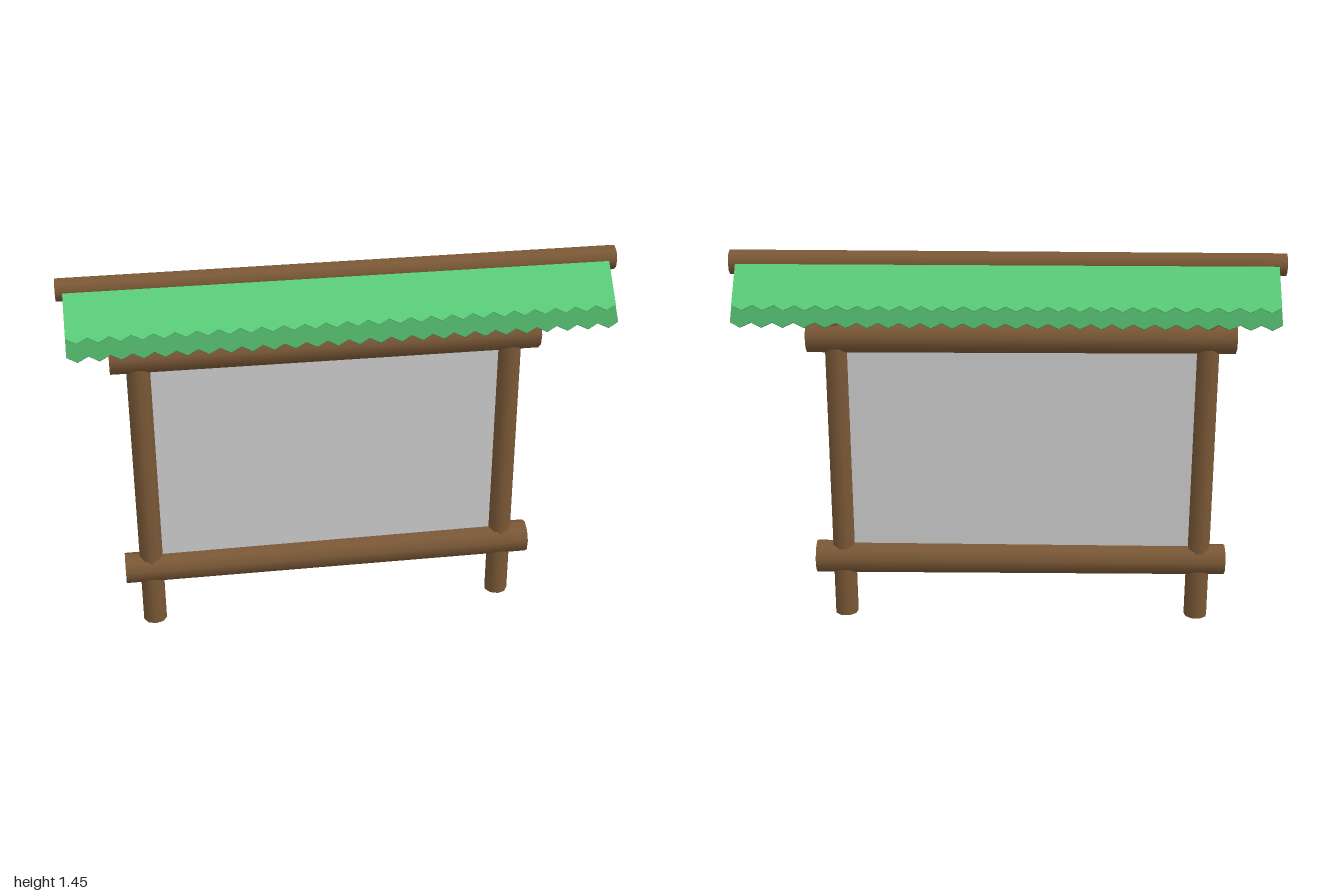
import * as THREE from 'three';

const wood = new THREE.MeshStandardMaterial({ color: 0x7a5836 });
const roofGreen = new THREE.MeshStandardMaterial({ color: 0x5acb78 });
const edgeGreen = new THREE.MeshStandardMaterial({ color: 0x48a35f });
const grey = new THREE.MeshStandardMaterial({ color: 0xcccccc });

function add(parent, name, geometry, material) {
  const mesh = new THREE.Mesh(geometry, material);
  mesh.name = name;
  parent.add(mesh);
  return mesh;
}

// Horizontal log, slightly thinner towards +x
function beam(parent, name, x0, x1, y, r0, r1) {
  const g = new THREE.CylinderGeometry(r0, r1, x1 - x0, 9);
  g.rotateY(Math.PI); // one corner straight down once laid on its side
  g.rotateZ(Math.PI / 2);
  g.rotateX(Math.PI / 2);
  add(parent, name, g, wood).position.set((x0 + x1) / 2, y, 0);
}

// Thin roof sheet with a wavy lower edge, hanging down from its top edge
function sheet(length, thickness) {
  const x0 = -0.975, x1 = 0.97, waves = 26, steps = waves * 4;
  const shape = new THREE.Shape();
  shape.moveTo(x1, 0);
  shape.lineTo(x0, 0);
  for (let i = 0; i <= steps; i++) {
    const wave = 0.01 * Math.cos((i / 4) * Math.PI * 2);
    shape.lineTo(x0 + ((x1 - x0) * i) / steps, -length + 0.01 + wave);
  }
  shape.closePath();
  return new THREE.ExtrudeGeometry(shape, { depth: thickness, bevelEnabled: false });
}

export function createModel() {
  const model = new THREE.Group();
  model.name = 'noticeBoard';

  // Upright posts
  for (const [name, x] of [['rightPost', -0.735], ['leftPost', 0.63]]) {
    const g = new THREE.CylinderGeometry(0.043, 0.045, 1.36, 9);
    add(model, name, g, wood).position.set(x, 0.68, 0);
  }

  // Cross logs and ridge
  beam(model, 'lowerRail', -0.835, 0.735, 0.237, 0.059, 0.063);
  beam(model, 'upperRail', -0.835, 0.735, 1.13, 0.059, 0.063);
  beam(model, 'tieBeam', -0.835, 0.735, 1.335, 0.043, 0.045);
  beam(model, 'ridgeLog', -1, 1, 1.405, 0.041, 0.045);

  // Display panel
  add(model, 'panel', new THREE.BoxGeometry(1.33, 0.86, 0.016), grey).position.set(-0.0525, 0.68, 0);

  // Two roof slopes, each a long under sheet and a shorter top sheet
  for (const side of ['front', 'back']) {
    const slope = new THREE.Group();
    slope.name = side + 'RoofSlope';
    const tilt = new THREE.Group();
    tilt.position.set(0, 1.402, 0.038);
    tilt.rotation.x = -0.76;
    add(tilt, 'underSheet', sheet(0.25, 0.004), edgeGreen);
    add(tilt, 'topSheet', sheet(0.185, 0.004), roofGreen).position.z = 0.005;
    slope.add(tilt);
    if (side === 'back') slope.rotation.y = Math.PI;
    model.add(slope);
  }

  return model;
}
